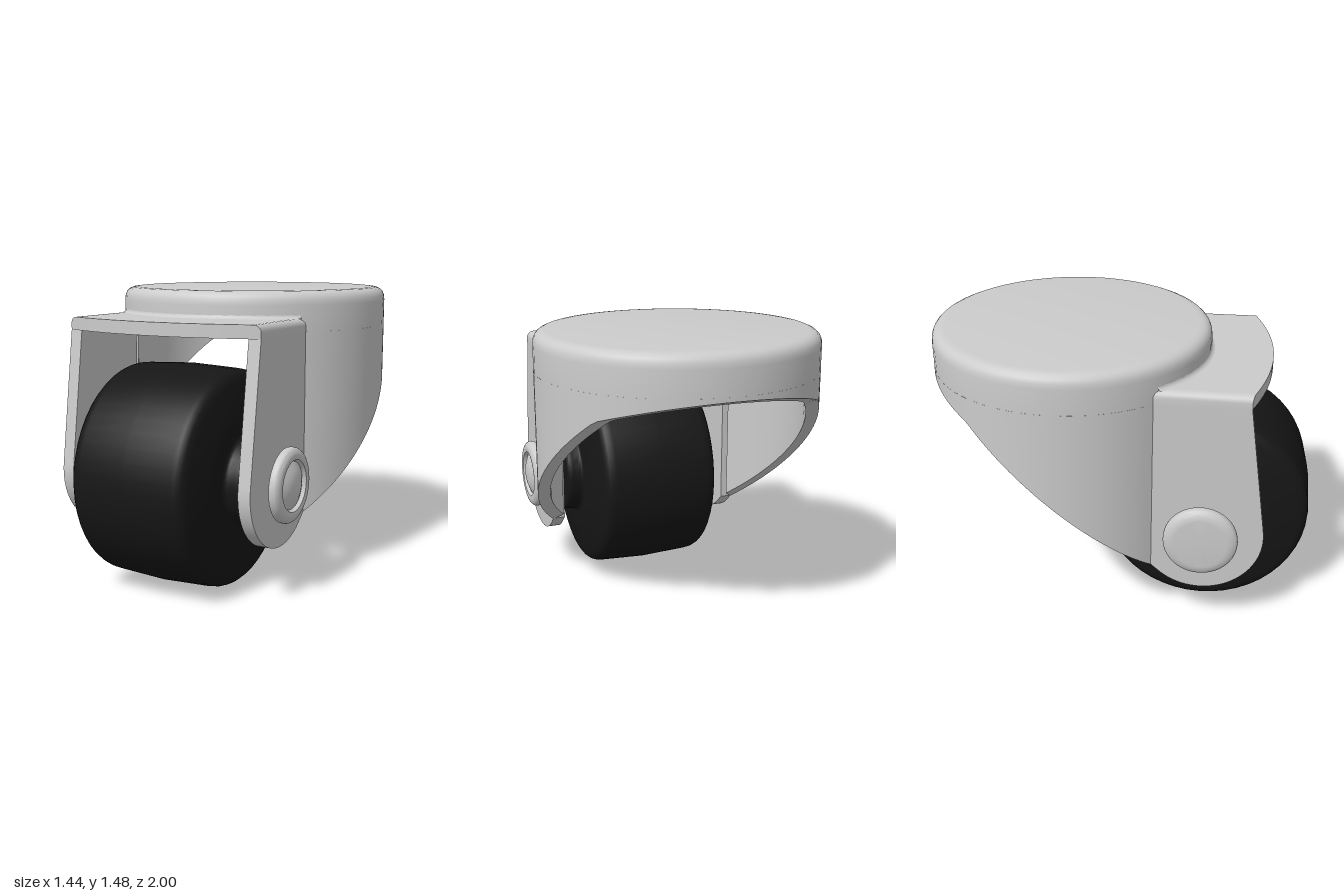
import * as THREE from 'three';
import { toCreasedNormals } from 'three/addons/utils/BufferGeometryUtils.js';

const grey = new THREE.MeshStandardMaterial({ color: 0xcccccc });
const black = new THREE.MeshStandardMaterial({ color: 0x161616 });

const CUP_Z = -0.275, CUP_R = 0.72, CUP_IN = 0.655; // swivel cup
const AXLE_Y = 0.562, AXLE_Z = 0.445;
const PLATE_IN = 0.48, PLATE_OUT = 0.545;           // fork plates
const BRIDGE_LOW = 1.28, BRIDGE_TOP = 1.345;
const JOIN = Math.asin(PLATE_OUT / CUP_R);          // where skirt meets plates

function part(name, geometry, material = grey, crease = 0.6) {
  const mesh = new THREE.Mesh(toCreasedNormals(geometry, crease), material);
  mesh.name = name;
  return mesh;
}

// Profile of [radius, height, cornerRadius] points with softened corners
function profile(pts) {
  const v = pts.map(p => new THREE.Vector2(p[0], p[1]));
  const path = new THREE.Path();
  path.moveTo(v[0].x, v[0].y);
  for (let i = 1; i < v.length; i++) {
    const c = pts[i][2];
    if (!c) { path.lineTo(v[i].x, v[i].y); continue; }
    const a = v[i].clone().add(v[i - 1].clone().sub(v[i]).setLength(c));
    const b = v[i].clone().add(v[i + 1].clone().sub(v[i]).setLength(c));
    path.lineTo(a.x, a.y);
    path.quadraticCurveTo(v[i].x, v[i].y, b.x, b.y);
  }
  return path.getPoints(5);
}

// Turned part lying along the x axis through the axle
function turned(pts, segments) {
  return new THREE.LatheGeometry(profile(pts), segments)
    .rotateZ(-Math.PI / 2).translate(0, AXLE_Y, AXLE_Z);
}

// Move every vertex by a rule
function remap(geometry, rule) {
  const p = geometry.attributes.position;
  for (let i = 0; i < p.count; i++) p.setXYZ(i, ...rule(p.getX(i), p.getY(i), p.getZ(i)));
  return geometry;
}

// Lower edge of the skirt, sloping up toward the back
function skirtEdge(z) {
  if (z > -0.71) return THREE.MathUtils.mapLinear(z, 0.235, -0.71, 0.33, 1.15);
  return THREE.MathUtils.mapLinear(z, -0.71, -1, 1.15, 1.26);
}

export function createModel() {
  const model = new THREE.Group();
  model.name = 'casterWheel';

  // Round cup with a softened top rim, hollow below
  const cup = new THREE.LatheGeometry(profile([
    [0, 1.42], [CUP_IN, 1.42, 0.03], [CUP_IN, BRIDGE_LOW], [CUP_R, BRIDGE_LOW],
    [CUP_R, 1.48, 0.07], [0, 1.48],
  ]), 64).translate(0, 0, CUP_Z);
  model.add(part('swivelCup', cup));

  // Curved skirt wrapping round the back
  const skirt = remap(new THREE.BoxGeometry(1, 1, 1, 96, 1, 1), (u, v, w) => {
    const angle = THREE.MathUtils.lerp(JOIN, 2 * Math.PI - JOIN, u + 0.5);
    const r = w > 0 ? CUP_R : CUP_IN;
    const z = CUP_Z + r * Math.cos(angle);
    return [r * Math.sin(angle), v > 0 ? BRIDGE_LOW : skirtEdge(z), z];
  });
  model.add(part('rearSkirt', skirt));

  // Bridge over the wheel: bowed front edge, rounded outer corners
  const round = 0.035;
  const bridge = remap(new THREE.BoxGeometry(1, 1, 1, 40, 1, 1), (u, v, w) => {
    const x = PLATE_OUT * Math.sin(u * Math.PI);
    const d = Math.max(0, Math.abs(x) - (PLATE_OUT - round));
    const drop = round - Math.sqrt(Math.max(0, round * round - d * d));
    const front = 0.66 + 0.1 * (1 - (x / PLATE_OUT) ** 2);
    const back = CUP_Z + Math.sqrt(0.69 * 0.69 - x * x);
    return [x, v > 0 ? BRIDGE_TOP - drop : BRIDGE_LOW, w > 0 ? front : back];
  });
  model.add(part('forkBridge', bridge));

  // Small fillet where the cup meets the bridge
  const fillet = new THREE.LatheGeometry(
    [[0.738, 1.344], [0.727, 1.349], [0.722, 1.354], [0.719, 1.364]].map(p => new THREE.Vector2(...p)),
    24, -0.82, 1.64).translate(0, 0, CUP_Z);
  model.add(part('cupFillet', fillet));

  // Fork plates with a round lower end
  const side = new THREE.Shape();
  side.moveTo(-0.19, BRIDGE_LOW);
  side.lineTo(-0.66, BRIDGE_LOW);
  side.absarc(-AXLE_Z, AXLE_Y, 0.313, 3.0, 5.44, false);
  side.lineTo(-0.19, 0.37);
  for (const [name, x] of [['leftForkPlate', PLATE_IN], ['rightForkPlate', -PLATE_OUT]]) {
    const plate = new THREE.ExtrudeGeometry(side, {
      depth: PLATE_OUT - PLATE_IN, bevelEnabled: false, curveSegments: 24,
    }).rotateY(Math.PI / 2).translate(x, 0, 0);
    model.add(part(name, plate, grey, 0.4));
  }

  // Wheel with a crowned tread and stepped hub
  const half = [
    [0, -0.445], [0.225, -0.445, 0.035], [0.225, -0.355, 0.025],
    [0.33, -0.355, 0.05], [0.543, -0.313, 0.055],
  ];
  const mirrored = half.map(([r, x, c]) => [r, -x, c]).reverse();
  model.add(part('wheel', turned([...half, [0.557, 0], ...mirrored], 48), black));

  // Axle pin
  model.add(part('axlePin', turned([[0, -0.58], [0.133, -0.58], [0.133, 0.58], [0, 0.58]], 40)));

  // Plain rivet head on the right
  model.add(part('rightRivetHead', turned([
    [0, -0.63], [0.15, -0.628, 0.02], [0.187, -0.61, 0.018], [0.187, -0.568, 0.012], [0, -0.568],
  ], 40)));

  // Rolled rivet head on the left, with a domed centre
  model.add(part('leftRivetHead', turned([
    [0, 0.568], [0.187, 0.568, 0.012], [0.187, 0.605, 0.02], [0.155, 0.622, 0.015],
    [0.128, 0.618], [0.118, 0.6], [0.06, 0.625, 0.03], [0, 0.63],
  ], 40)));

  return model;
}
